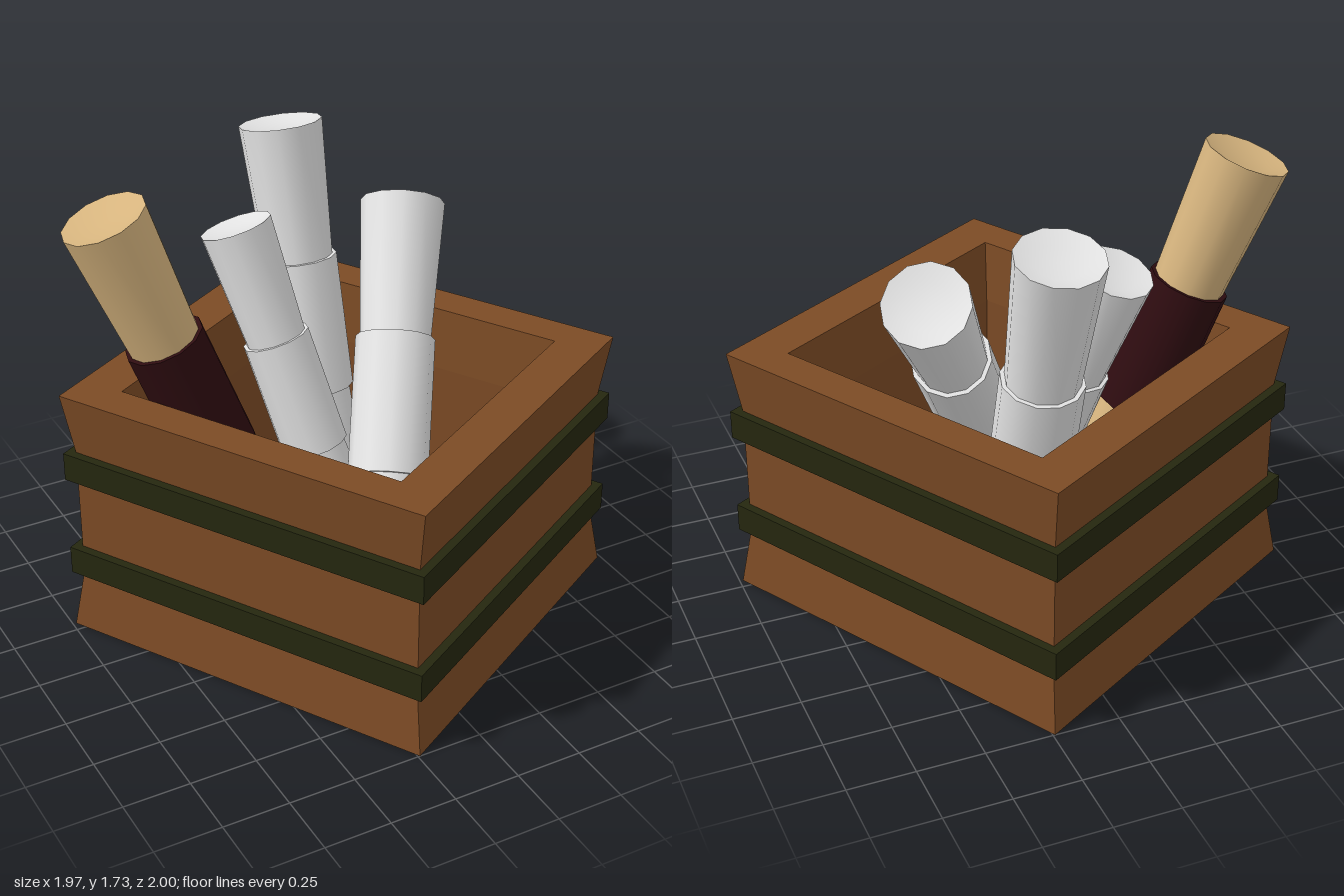
import * as THREE from 'three';
import { toCreasedNormals } from 'three/addons/utils/BufferGeometryUtils.js';

const material = (name, color) => {
  const m = new THREE.MeshStandardMaterial({ color });
  m.name = name;
  return m;
};

// Flat-sided rectangular shell swept through [halfX, halfZ, y] levels.
function rectShell(levels) {
  const corners = [[1, 1], [1, -1], [-1, -1], [-1, 1]];
  const at = (i, k) => {
    const [hx, hz, y] = levels[i], [sx, sz] = corners[k % 4];
    return [hx * sx, y, hz * sz];
  };
  const pos = [];
  for (let i = 0; i < levels.length - 1; i++) {
    for (let k = 0; k < 4; k++) {
      const a = at(i, k), b = at(i, k + 1), c = at(i + 1, k + 1), d = at(i + 1, k);
      if (levels[i][0] > 0) pos.push(...a, ...b, ...c);
      if (levels[i + 1][0] > 0) pos.push(...a, ...c, ...d);
    }
  }
  const geo = new THREE.BufferGeometry();
  geo.setAttribute('position', new THREE.Float32BufferAttribute(pos, 3));
  geo.computeVertexNormals();
  return geo;
}

export function createModel() {
  const model = new THREE.Group();
  model.name = 'scrollCrate';
  const wood = material('brown wood', 0x7c4b25);
  const bandMat = material('dark green band', 0x25270f);
  const paper = material('white paper', 0xe2e2e2);
  const parchment = material('tan parchment', 0xd6b47e);
  const wrap = material('dark maroon wrap', 0x2e0c10);

  const add = (parent, name, geo, mat) => {
    const mesh = new THREE.Mesh(geo, mat);
    mesh.name = name;
    parent.add(mesh);
    return mesh;
  };

  // Crate: flared foot and rim, straight waist, hollow inside
  const crate = new THREE.Group();
  crate.name = 'crate';
  crate.rotation.y = Math.PI / 6;
  model.add(crate);
  const W = 0.71, D = 0.745, w = 0.678, d = 0.712;
  add(crate, 'crateBody', rectShell([
    [0, 0, 0], [W, D, 0], [w, d, 0.235], [w, d, 0.75], [W, D, 0.99],
    [0.568, 0.573, 0.99], [0.543, 0.547, 0.75], [0.543, 0.547, 0.1], [0, 0, 0.1],
  ]), wood);

  // Two bands around the waist
  for (const [name, y0, y1] of [['lowerBand', 0.235, 0.345], ['upperBand', 0.64, 0.75]]) {
    add(crate, name, rectShell([
      [w - 0.01, d - 0.01, y0], [W, D, y0], [W, D, y1], [w - 0.01, d - 0.01, y1],
    ]), bandMat);
  }

  // Rolled scroll: flared tube with dished ends and a sleeve over the middle third
  const SIDES = 12, H = 0.785;
  const profile = [
    [0, -H + 0.02], [0.09, -H + 0.02], [0.158, -H], [0.132, -H / 3],
    [0.132, H / 3], [0.158, H], [0.09, H - 0.02], [0, H - 0.02],
  ].map(([r, y]) => new THREE.Vector2(r, y));
  const tubeGeo = toCreasedNormals(new THREE.LatheGeometry(profile, SIDES), 0.7);
  const sleeveGeo = new THREE.CylinderGeometry(0.148, 0.148, H * 2 / 3, SIDES);

  // [name, top centre, bottom centre, scale, tube material, sleeve material]
  const scrolls = [
    ['tanScroll', [-0.81, 1.675, -0.21], [-0.27, 0.22, -0.07], 1, parchment, wrap],
    ['tallScroll', [0.11, 1.667, -0.69], [0.13, 0.14, -0.33], 1, paper, paper],
    ['smallScroll', [-0.215, 1.425, -0.42], [0.06, 0.14, -0.02], 0.86, paper, paper],
    ['leaningScroll', [0.45, 1.4, -0.355], [-0.12, 0.22, 0.50], 1, paper, paper],
  ];
  const up = new THREE.Vector3(0, 1, 0);
  for (const [name, top, bottom, scale, tubeMat, sleeveMat] of scrolls) {
    const a = new THREE.Vector3(...top), b = new THREE.Vector3(...bottom);
    const dir = a.clone().sub(b).normalize();
    const scroll = new THREE.Group();
    scroll.name = name;
    scroll.quaternion.setFromUnitVectors(up, dir);
    scroll.position.copy(a).addScaledVector(dir, -H * scale);
    scroll.scale.setScalar(scale);
    add(scroll, name + 'Tube', tubeGeo, tubeMat);
    add(scroll, name + 'Sleeve', sleeveGeo, sleeveMat);
    model.add(scroll);
  }
  return model;
}
